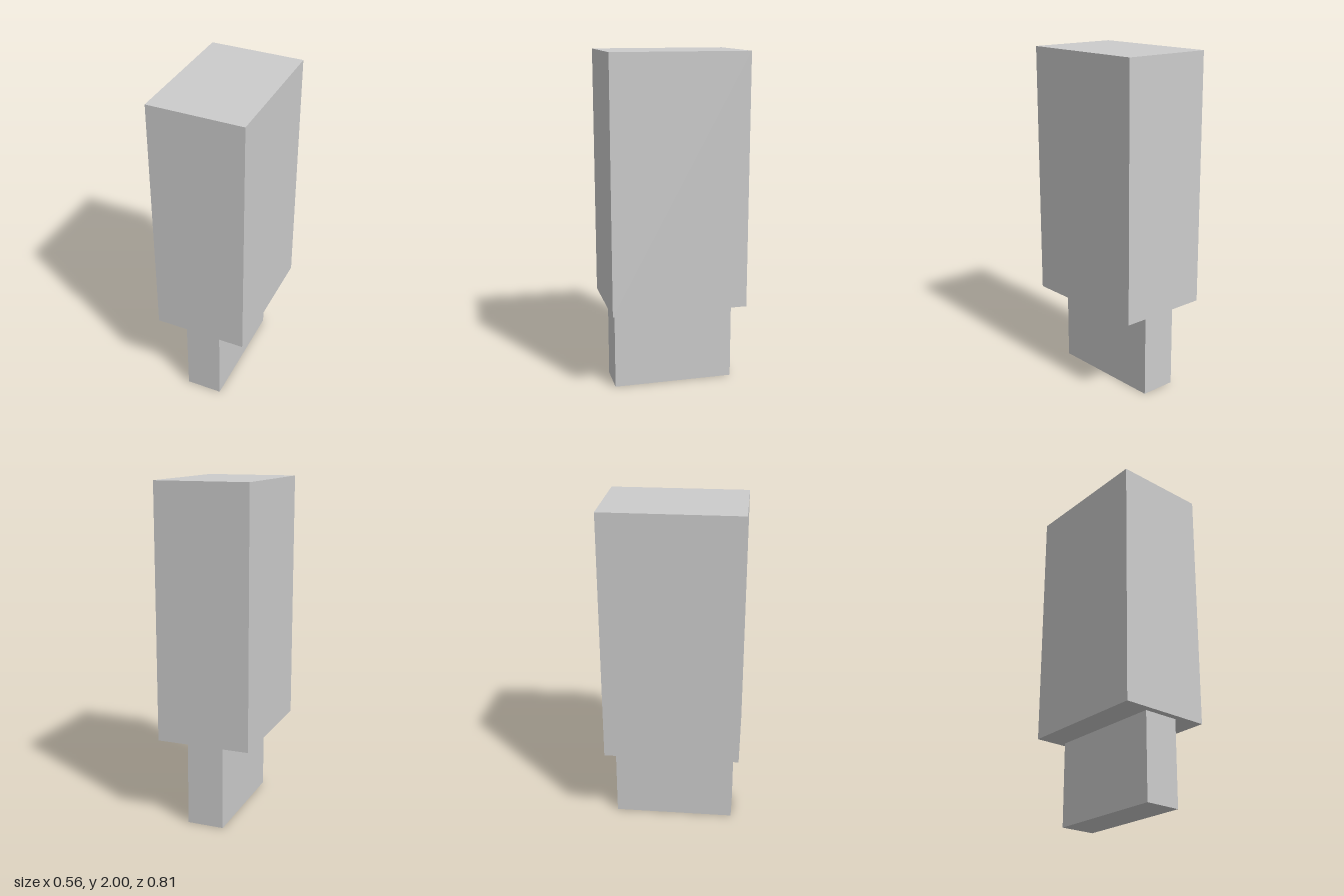
import * as THREE from 'three';

export function createModel() {
  const group = new THREE.Group();
  const material = new THREE.MeshStandardMaterial({ color: 0xcccccc, flatShading: true });

  // Adds a centred block spanning bottom..top in height
  function addBlock(name, width, depth, bottom, top) {
    const mesh = new THREE.Mesh(new THREE.BoxGeometry(width, top - bottom, depth), material);
    mesh.name = name;
    mesh.position.y = (bottom + top) / 2;
    group.add(mesh);
  }

  // Narrow stem under the wide, tall body
  const joint = 0.507;
  addBlock('stem', 0.218, 0.726, 0, joint);
  addBlock('body', 0.556, 0.806, joint, 2);

  return group;
}
